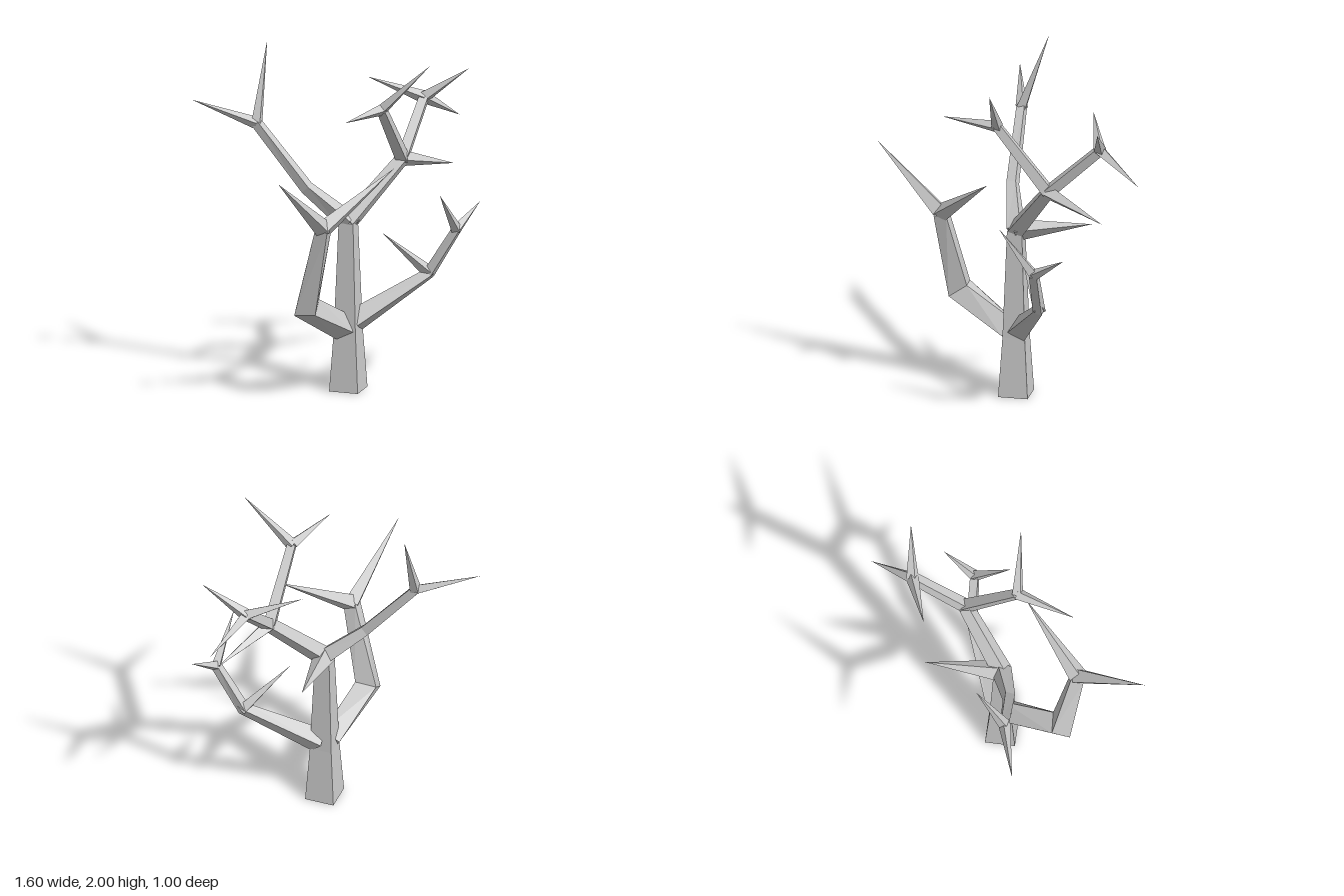
import * as THREE from 'three';

const material = new THREE.MeshStandardMaterial({ color: 0xcccccc, flatShading: true });

// Four-sided tapered limb through points [x, y, z, radius]; radius 0 ends in a spike
function limb(name, points) {
  const p = points.map(([x, y, z]) => new THREE.Vector3(x, y, z));
  const last = p.length - 1;
  const rings = p.map((c, i) => {
    const t = new THREE.Vector3();
    if (i > 0) t.add(c.clone().sub(p[i - 1]).normalize());
    if (i < last) t.add(p[i + 1].clone().sub(c).normalize());
    t.normalize();
    const v = new THREE.Vector3(0, 0, 1).addScaledVector(t, -t.z).normalize();
    const u = t.clone().cross(v);
    const r = points[i][3];
    return [[1, 0], [0, 1], [-1, 0], [0, -1]].map(([a, b]) =>
      c.clone().addScaledVector(v, a * r).addScaledVector(u, b * r));
  });
  const out = [];
  const tri = (...corners) => corners.forEach((q) => out.push(q.x, q.y, q.z));
  for (let i = 0; i < last; i++) {
    const A = rings[i], B = rings[i + 1];
    for (let k = 0; k < 4; k++) {
      const n = (k + 1) % 4;
      tri(A[k], A[n], B[n]);
      if (points[i + 1][3] > 0) tri(A[k], B[n], B[k]);
    }
  }
  // end caps
  const S = rings[0], E = rings[last];
  tri(S[0], S[2], S[1]);
  tri(S[0], S[3], S[2]);
  if (points[last][3] > 0) {
    tri(E[0], E[1], E[2]);
    tri(E[0], E[2], E[3]);
  }
  const g = new THREE.BufferGeometry();
  g.setAttribute('position', new THREE.Float32BufferAttribute(out, 3));
  g.computeVertexNormals();
  const mesh = new THREE.Mesh(g, material);
  mesh.name = name;
  return mesh;
}

// A branch with spikes fanning out from its end
function branch(name, path, tips) {
  const group = new THREE.Group();
  group.name = name;
  group.add(limb(name + 'Limb', path));
  const [x, y, z, r] = path[path.length - 1];
  tips.forEach((tip, i) =>
    group.add(limb(name + 'Spike' + (i + 1), [[x, y, z, r * 1.05], [...tip, 0]])));
  return group;
}

export function createModel() {
  const tree = new THREE.Group();
  tree.name = 'bareTree';

  // trunk with its small rear spike
  tree.add(branch('trunk',
    [[-0.05, 0, 0, 0.122], [-0.05, 0.355, 0, 0.092], [-0.05, 0.99, 0, 0.062]],
    [[0.24, 1.05, -0.33]]));

  // heavy low limb on the right
  tree.add(branch('lowRightBranch',
    [[-0.09, 0.375, 0.015, 0.08], [-0.395, 0.565, 0.165, 0.088], [-0.36, 1.06, 0.31, 0.052]],
    [[-0.74, 1.42, 0.5], [0.1, 1.36, 0.29]]));

  // low limb on the left, with a spike at its elbow
  tree.add(branch('lowLeftBranch',
    [[-0.01, 0.4, 0, 0.075], [0.4, 0.665, 0.13, 0.038], [0.52, 0.935, 0.24, 0.032]],
    [[0.71, 1.06, 0.16], [0.35, 1.19, 0.37]]));
  tree.add(limb('elbowSpike', [[0.41, 0.66, 0.13, 0.04], [0.13, 0.92, 0.08, 0]]));

  // high rear limb
  tree.add(branch('highRightBranch',
    [[-0.05, 0.99, 0, 0.06], [-0.26, 1.19, -0.11, 0.04], [-0.48, 1.55, -0.31, 0.034]],
    [[-0.8, 1.68, -0.5], [-0.36, 2, -0.42]]));

  // high left limb, forking into two arms and a spike
  tree.add(branch('highLeftBranch',
    [[-0.05, 0.99, 0, 0.06], [0.295, 1.325, 0.0, 0.045]],
    [[0.68, 1.22, -0.12]]));
  tree.add(branch('frontArm',
    [[0.295, 1.325, 0, 0.045], [0.065, 1.69, 0.2, 0.034]],
    [[-0.25, 1.69, 0.37], [0.28, 1.97, 0.39]]));
  tree.add(branch('rearArm',
    [[0.295, 1.325, 0, 0.042], [0.53, 1.61, -0.2, 0.036]],
    [[0.74, 1.79, -0.05], [0.24, 1.73, -0.34], [0.8, 1.45, -0.29]]));

  return tree;
}
